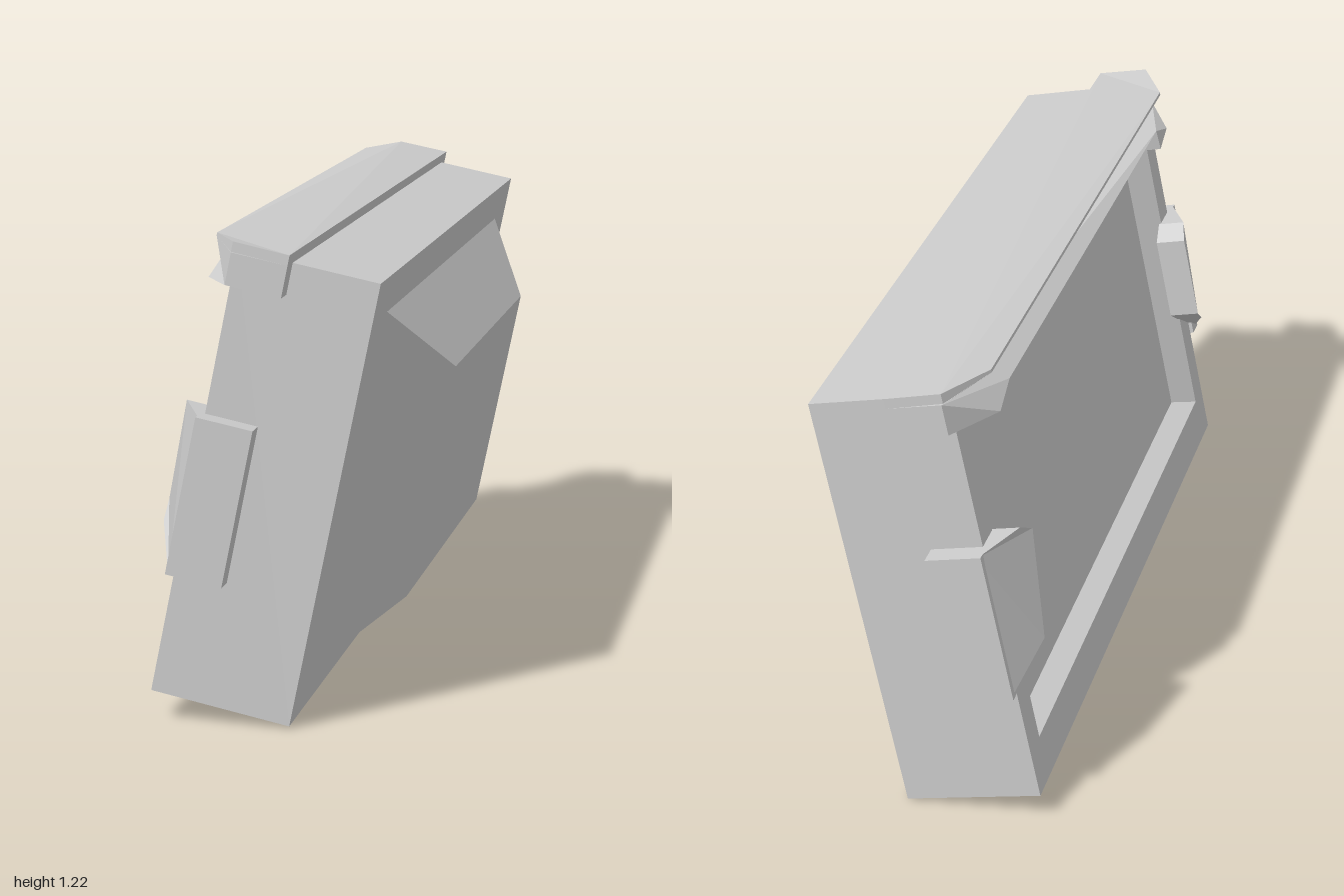
import * as THREE from 'three';

const material = new THREE.MeshStandardMaterial({ color: 0xcccccc, flatShading: true, side: THREE.DoubleSide });

function addMesh(parent, name, geometry) {
  const flat = geometry.index ? geometry.toNonIndexed() : geometry;
  flat.computeVertexNormals();
  const mesh = new THREE.Mesh(flat, material);
  mesh.name = name;
  parent.add(mesh);
  return mesh;
}

// Skin over a run of rectangles [halfWidth, bottom, top, z], closed at both ends
function loftRectangles(rings) {
  const positions = [];
  const index = [];
  for (const [h, bottom, top, z] of rings) {
    positions.push(-h, bottom, z, h, bottom, z, h, top, z, -h, top, z);
  }
  for (let r = 0; r < rings.length - 1; r++) {
    for (let i = 0; i < 4; i++) {
      const j = (i + 1) % 4;
      const a = r * 4 + i, b = r * 4 + j;
      index.push(a, b, b + 4, a, b + 4, a + 4);
    }
  }
  const e = (rings.length - 1) * 4;
  index.push(0, 2, 1, 0, 3, 2, e, e + 1, e + 2, e, e + 2, e + 3);
  const g = new THREE.BufferGeometry();
  g.setAttribute('position', new THREE.Float32BufferAttribute(positions, 3));
  g.setIndex(index);
  return g;
}

function extrude(points, depth) {
  const shape = new THREE.Shape(points.map(([x, y]) => new THREE.Vector2(x, y)));
  return new THREE.ExtrudeGeometry(shape, { depth, bevelEnabled: false });
}

// Plate behind the case whose rear face slopes forward near the sides
function rearPlate(points) {
  const g = extrude(points, 1);
  const p = g.attributes.position;
  for (let i = 0; i < p.count; i++) {
    const slope = Math.min(1, (1.09 - Math.abs(p.getX(i))) / 0.17);
    p.setZ(i, p.getZ(i) > 0.5 ? -0.355 : -0.36 - 0.08 * slope);
  }
  return g;
}

function box(x0, x1, y0, y1, z0, z1) {
  return new THREE.BoxGeometry(x1 - x0, y1 - y0, z1 - z0)
    .translate((x0 + x1) / 2, (y0 + y1) / 2, (z0 + z1) / 2);
}

export function createModel() {
  const model = new THREE.Group();
  model.name = 'model';
  const panel = new THREE.Group();
  panel.name = 'panel';
  model.add(panel);

  // Case with a sloped recess in its back
  addMesh(panel, 'case', loftRectangles([
    [0.893, -0.417, 0.5, -0.3],
    [0.947, -0.446, 0.53, -0.36],
    [1.03, -0.57, 0.57, -0.36],
    [1.03, -0.57, 0.57, 0],
  ]));

  // Raised front with sloping sides
  addMesh(panel, 'raisedFront', loftRectangles([
    [0.845, -0.469, 0.469, 0],
    [0.56, -0.313, 0.313, 0.158],
  ]));

  // Top cap, its rear edge slightly lowered
  const cap = extrude([
    [-1.087, 0.22], [1.087, 0.22], [1.08, 0.363], [0.92, 0.44], [-0.92, 0.44], [-1.08, 0.363],
  ], 0.027).rotateX(-Math.PI / 2).translate(0, 0.57, 0);
  const p = cap.attributes.position;
  for (let i = 0; i < p.count; i++) {
    if (p.getZ(i) < -0.4 && p.getY(i) > 0.58) p.setY(i, 0.578);
  }
  addMesh(panel, 'topCap', cap);

  // Rear lip of the cap, with a shallow tab near each end
  const lipHalf = [[0.81, 0.5], [0.82, 0.44], [0.92, 0.465], [1.087, 0.49], [1.087, 0.571], [0.92, 0.571]];
  const mirrored = lipHalf.map(([x, y]) => [-x, y]).reverse();
  addMesh(panel, 'capRearLip', rearPlate([...lipHalf, ...mirrored]));

  // Cap ends and side clips, mirrored
  for (const side of [-1, 1]) {
    const x0 = side > 0 ? 1.03 : -1.087;
    const x1 = side > 0 ? 1.087 : -1.03;
    addMesh(panel, 'capEnd', box(x0, x1, 0.49, 0.571, -0.36, -0.22));

    const clip = new THREE.Group();
    clip.name = 'sideClip';
    panel.add(clip);
    addMesh(clip, 'clipSide', box(x0, x1, -0.25, 0.155, -0.37, -0.225));
    addMesh(clip, 'clipHook', rearPlate([
      [1.087, 0.155], [0.94, 0.155], [0.88, 0.12], [0.88, -0.12], [0.94, -0.16], [1.087, -0.25],
    ].map(([x, y]) => [x * side, y])));
  }

  // Turn and tip the whole panel
  const across = new THREE.Vector3(0.791, -0.003, -0.612).normalize();
  const facing = new THREE.Vector3(0.599, -0.2, 0.775).normalize();
  const upward = new THREE.Vector3().crossVectors(facing, across).normalize();
  facing.crossVectors(across, upward);
  panel.quaternion.setFromRotationMatrix(new THREE.Matrix4().makeBasis(across, upward, facing));
  panel.position.set(0.1125, 0.564, 0.14);
  return model;
}
